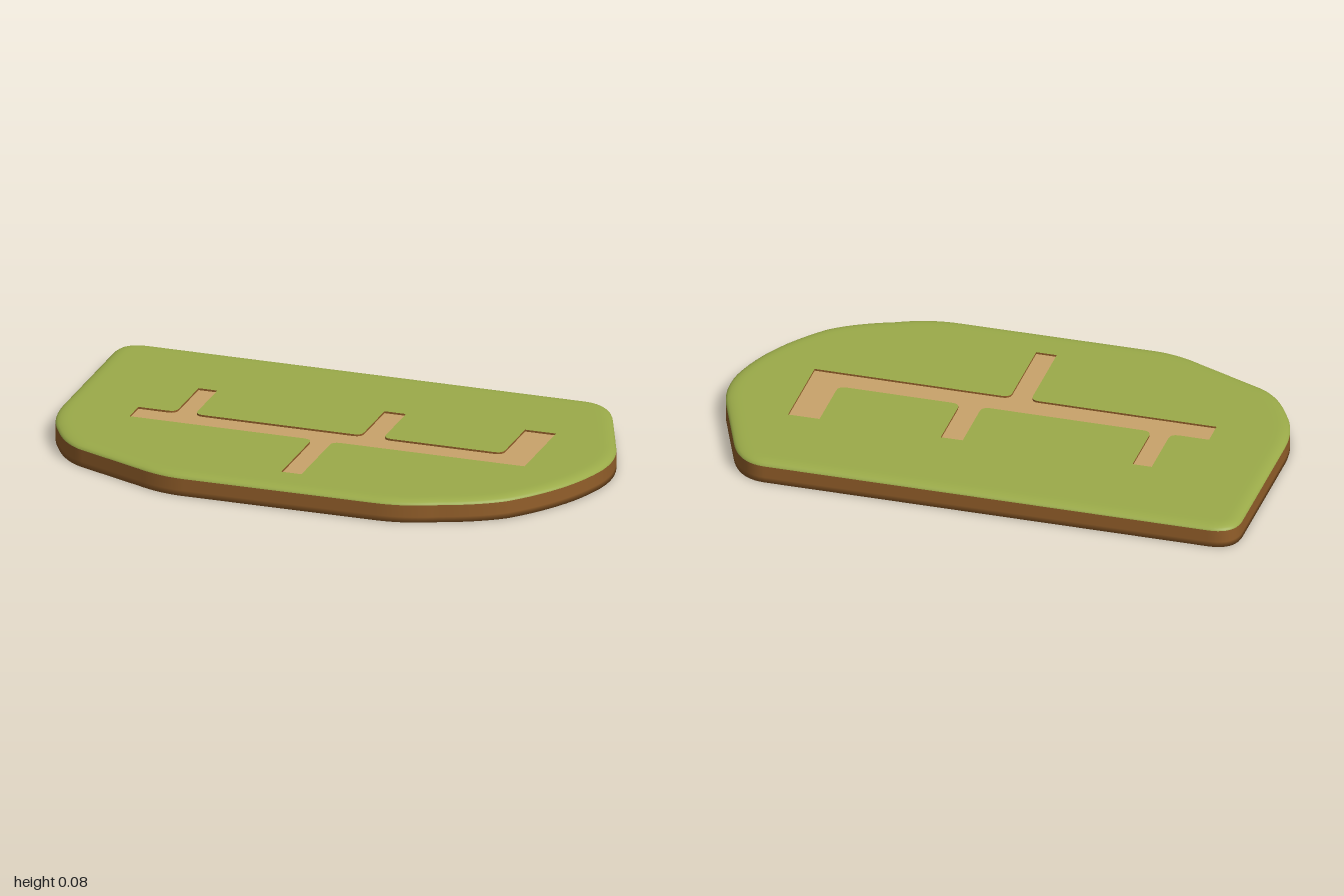
import * as THREE from 'three';
import { toCreasedNormals } from 'three/addons/utils/BufferGeometryUtils.js';

const TOP = 0.08, PATH = 0.073;
const material = (color) => new THREE.MeshStandardMaterial({ color });
const V = (x, z) => new THREE.Vector2(x, z);

// Ground plan in x, z, clockwise as seen from above
function islandOutline() {
  const p = new THREE.Path();
  p.moveTo(-0.9, -0.58);
  p.lineTo(0.72, -0.58);
  p.quadraticCurveTo(0.82, -0.58, 0.87, -0.45);
  p.lineTo(0.97, -0.2);
  p.quadraticCurveTo(1.02, -0.07, 0.98, 0.06);
  p.quadraticCurveTo(0.93, 0.24, 0.78, 0.4);
  p.quadraticCurveTo(0.7, 0.47, 0.56, 0.52);
  p.quadraticCurveTo(0.45, 0.575, 0.34, 0.575);
  p.lineTo(-0.37, 0.578);
  p.quadraticCurveTo(-0.46, 0.578, -0.55, 0.535);
  p.lineTo(-0.8, 0.43);
  p.quadraticCurveTo(-0.88, 0.395, -0.94, 0.28);
  p.quadraticCurveTo(-1, 0.18, -1, 0.05);
  p.lineTo(-1, -0.48);
  p.quadraticCurveTo(-1, -0.58, -0.9, -0.58);
  return p.getPoints(10).slice(0, -1);
}

// Branching footpath, clockwise from above; a third value rounds an inner corner
function pathOutline() {
  const r = 0.03;
  const corners = [
    [-0.735, 0.01], [-0.595, 0.01, r], [-0.595, -0.23], [-0.525, -0.23], [-0.525, 0.01, r],
    [0.095, 0.01, r], [0.095, -0.235], [0.175, -0.235], [0.175, 0.01, r],
    [0.62, 0.01, r], [0.62, -0.23], [0.735, -0.23], [0.735, 0.105],
    [0.02, 0.105, r], [0.02, 0.435], [-0.055, 0.435], [-0.055, 0.105, r], [-0.735, 0.105],
  ];
  const points = [];
  corners.forEach(([x, z, round], i) => {
    const c = V(x, z);
    if (!round) { points.push(c); return; }
    const toward = (k) => {
      const q = corners[(k + corners.length) % corners.length];
      return V(q[0], q[1]).sub(c).setLength(round).add(c);
    };
    points.push(...new THREE.QuadraticBezierCurve(toward(i - 1), c, toward(i + 1)).getPoints(4));
  });
  return points;
}

// Shrinks an outline inwards along its corner normals
function inset(points, d) {
  const n = points.length;
  return points.map((p, i) => {
    const a = p.clone().sub(points[(i + n - 1) % n]).normalize();
    const b = points[(i + 1) % n].clone().sub(p).normalize();
    const t = a.add(b).normalize();
    return V(p.x - t.y * d, p.y + t.x * d);
  });
}

// Skin through copies of an outline; profile holds [inset, height] pairs
function loft(outline, profile, closeBottom = false) {
  const n = outline.length, pos = [], idx = [];
  for (const [d, y] of profile) {
    for (const p of inset(outline, d)) pos.push(p.x, y, p.y);
  }
  for (let k = 0; k < profile.length - 1; k++) {
    for (let j = 0; j < n; j++) {
      const a = k * n + j, b = k * n + (j + 1) % n;
      idx.push(a, a + n, b + n, a, b + n, b);
    }
  }
  if (closeBottom) {
    const centre = pos.length / 3;
    pos.push(0, profile[0][1], 0);
    for (let j = 0; j < n; j++) idx.push(centre, j, (j + 1) % n);
  }
  const g = new THREE.BufferGeometry();
  g.setAttribute('position', new THREE.Float32BufferAttribute(pos, 3));
  g.setIndex(idx);
  g.computeVertexNormals();
  return g;
}

// Flat upward-facing surface
function flat(outline, y, hole) {
  const flip = (pts) => pts.map((p) => V(p.x, -p.y));
  const shape = new THREE.Shape(flip(outline));
  if (hole) shape.holes.push(new THREE.Path(flip(hole)));
  return new THREE.ShapeGeometry(shape).rotateX(-Math.PI / 2).translate(0, y, 0);
}

export function createModel() {
  const group = new THREE.Group();
  const soil = material(0x935f2a), grass = material(0x9bab49), sand = material(0xc9a36b);
  const add = (name, geometry, mat) => {
    const mesh = new THREE.Mesh(geometry, mat);
    mesh.name = name;
    group.add(mesh);
  };
  const island = islandOutline(), path = pathOutline();

  // Earth slab, shaded softly into its underside
  add('soil', loft(island, [[0, 0], [0, 0.02], [0, 0.042], [0, 0.064]], true), soil);

  // Grass layer with a rounded rim
  const rim = [[0, 0.064]];
  for (let i = 1; i <= 5; i++) {
    const a = (i / 5) * Math.PI / 2;
    rim.push([0.045 * (1 - Math.cos(a)), 0.064 + (TOP - 0.064) * Math.sin(a)]);
  }
  rim.push([0.06, TOP]);
  add('grassRim', loft(island, rim), grass);
  add('grassTop', flat(inset(island, 0.06), TOP, path), grass);

  // Sunken footpath and its cut edges
  add('footpath', flat(path, PATH), sand);
  const cut = loft([...path].reverse(), [[0, PATH], [0, TOP]]);
  add('footpathEdge', toCreasedNormals(cut, 0.6), soil);

  return group;
}
